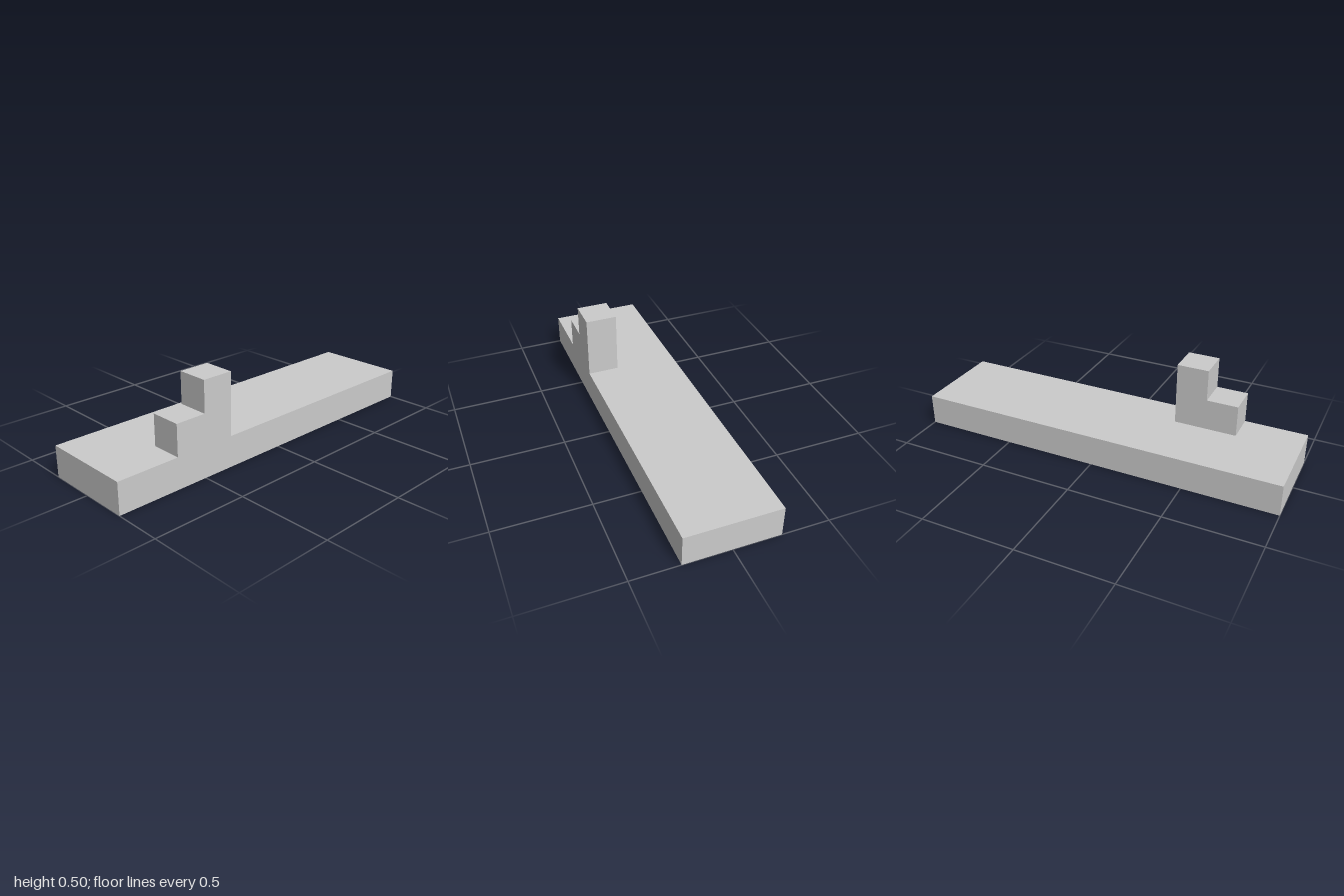
import * as THREE from 'three';

// Everything sits on a grid of one unit: the slab is 12 x 1 x 3 units
const U = 1 / 6;

export function createModel() {
  const model = new THREE.Group();
  model.name = 'steppedSlab';
  const material = new THREE.MeshStandardMaterial({ color: 0xcccccc, flatShading: true });

  // Long flat slab
  const slab = new THREE.Mesh(new THREE.BoxGeometry(12 * U, U, 3 * U), material);
  slab.name = 'baseSlab';
  slab.position.y = U / 2;
  model.add(slab);

  // Two-step block, flush with the front edge of the slab
  const profile = new THREE.Shape(
    [[-4, 1], [-2, 1], [-2, 3], [-3, 3], [-3, 2], [-4, 2]].map(([x, y]) => new THREE.Vector2(x * U, y * U))
  );
  const steps = new THREE.Mesh(
    new THREE.ExtrudeGeometry(profile, { depth: U, bevelEnabled: false }),
    material
  );
  steps.name = 'stepBlock';
  steps.position.z = U / 2;
  model.add(steps);

  return model;
}
